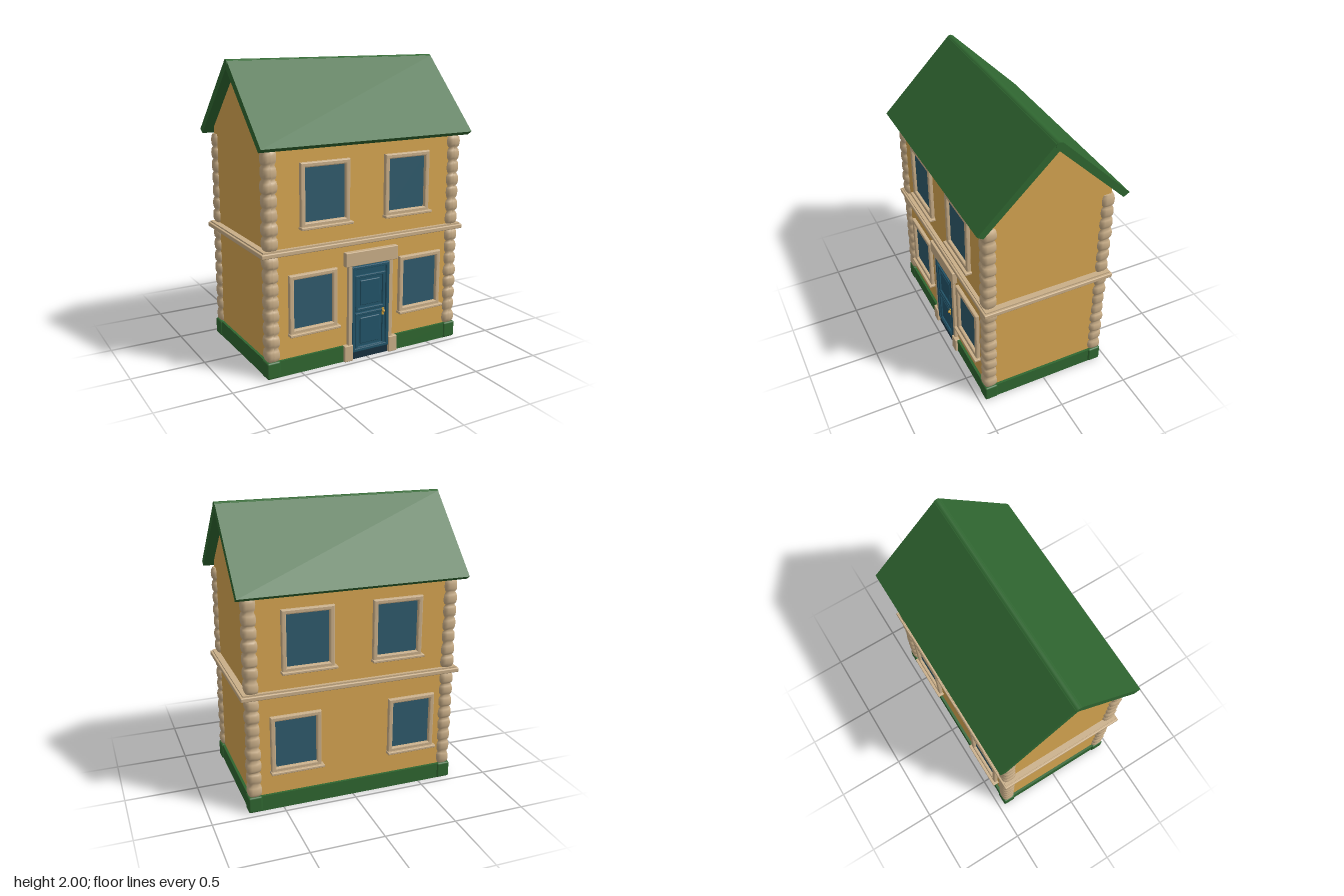
import * as THREE from 'three';
import { RoundedBoxGeometry } from 'three/addons/geometries/RoundedBoxGeometry.js';

const material = (name, color) => {
  const m = new THREE.MeshStandardMaterial({ color });
  m.name = name;
  return m;
};

export function createModel() {
  const plaster = material('ochre plaster', 0xd6a551);
  const green = material('green paint', 0x2f6630);
  const stone = material('pale stone', 0xc9ae88);
  const glass = material('blue glass', 0x2f5a6c);
  const doorBlue = material('door blue', 0x225469);
  const stepBlue = material('dark step blue', 0x16303f);
  const brass = material('brass', 0xc79a3a);

  const house = new THREE.Group();
  house.name = 'house';

  const add = (parent, name, geometry, mat) => {
    const mesh = new THREE.Mesh(geometry, mat);
    mesh.name = name;
    parent.add(mesh);
    return mesh;
  };
  // Box given by its limits on each axis
  const box = (parent, name, mat, x0, x1, y0, y1, z0, z1, r = 0) => {
    const size = [x1 - x0, y1 - y0, z1 - z0];
    const g = r ? new RoundedBoxGeometry(...size, 2, r) : new THREE.BoxGeometry(...size);
    g.translate((x0 + x1) / 2, (y0 + y1) / 2, (z0 + z1) / 2);
    return add(parent, name, g, mat);
  };
  // Profile in (z, y) extruded along x, centred
  const alongX = (points, length) => {
    const shape = new THREE.Shape(points.map(p => new THREE.Vector2(...p)));
    const g = new THREE.ExtrudeGeometry(shape, { depth: length, bevelEnabled: false });
    return g.translate(0, 0, -length / 2).rotateY(Math.PI / 2);
  };
  const rectPath = (path, x0, x1, y0, y1) =>
    path.moveTo(x0, y0).lineTo(x1, y0).lineTo(x1, y1).lineTo(x0, y1).closePath();
  // Rectangular moulding with a bevelled edge, standing on plane z
  const moulding = (parent, name, mat, x0, x1, y0, y1, width, z, depth, bevel) => {
    const shape = new THREE.Shape();
    rectPath(shape, x0 + bevel, x1 - bevel, y0 + bevel, y1 - bevel);
    const hole = new THREE.Path();
    const w = width - bevel;
    rectPath(hole, x0 + w, x1 - w, y0 + w, y1 - w);
    shape.holes.push(hole);
    const g = new THREE.ExtrudeGeometry(shape, {
      depth: depth - bevel * 2, bevelEnabled: true, bevelSize: bevel,
      bevelThickness: bevel, bevelSegments: 2,
    });
    return add(parent, name, g.translate(0, 0, z + bevel), mat);
  };

  // Walls with gables
  add(house, 'walls', alongX([
    [-0.43, 0.02], [0.43, 0.02], [0.43, 1.52], [0, 1.95], [-0.43, 1.52],
  ], 1.43), plaster);

  // Roof
  const roof = new THREE.Group();
  roof.name = 'roof';
  house.add(roof);
  add(roof, 'roofSlopes', alongX([
    [0.475, 1.475], [0.515, 1.5], [0.022, 1.99], [0, 2], [-0.022, 1.99],
    [-0.515, 1.5], [-0.475, 1.475], [0, 1.94],
  ], 1.565), green);
  const ridge = new THREE.CylinderGeometry(0.026, 0.026, 1.57, 12).rotateZ(Math.PI / 2);
  add(roof, 'ridgeCap', ridge, green).position.y = 1.974;

  // Plinth, open in front of the door
  const plinth = new THREE.Group();
  plinth.name = 'plinth';
  house.add(plinth);
  box(plinth, 'plinthCore', green, -0.732, 0.732, 0, 0.11, -0.448, 0.425);
  box(plinth, 'plinthFrontRight', green, -0.732, -0.15, 0, 0.11, 0.42, 0.448);
  box(plinth, 'plinthFrontLeft', green, 0.2, 0.732, 0, 0.11, 0.42, 0.448);
  for (const sx of [-1, 1]) for (const sz of [-1, 1]) {
    const x = sx * 0.695, z = sz * 0.41;
    box(plinth, 'plinthCorner', green, x - 0.047, x + 0.047, 0, 0.113, z - 0.046, z + 0.046, 0.012);
  }

  // String course between the floors
  box(house, 'stringCourse', stone, -0.77, 0.77, 0.81, 0.84, -0.468, 0.468, 0.006);
  box(house, 'stringCourseTop', stone, -0.755, 0.755, 0.835, 0.85, -0.455, 0.455);

  // Rough corner stones: a squared column swelling at every stone
  let seed = 7;
  const random = () => {
    seed = (seed * 16807) % 2147483647;
    return seed / 2147483647;
  };
  const quoinColumn = (y0, y1, count) => {
    const rows = count * 6, sides = 16;
    const g = new THREE.CylinderGeometry(1, 1, y1 - y0, sides, rows);
    const stones = Array.from({ length: count }, () => ({
      size: 0.046 + random() * 0.005, tilt: (random() - 0.5) * 0.024, turn: random() * 6.28,
    }));
    const p = g.attributes.position;
    for (let i = 0; i < p.count; i++) {
      const x = p.getX(i), z = p.getZ(i);
      const t = (p.getY(i) / (y1 - y0) + 0.5) * count;
      const s = stones[Math.min(count - 1, Math.max(0, Math.floor(t)))];
      const f = t - Math.floor(t);
      const bulge = Math.sqrt(Math.max(0, Math.sin(Math.PI * f)));
      const length = Math.hypot(x, z);
      if (length < 1e-6) continue;
      const square = Math.pow(x ** 4 + z ** 4, -0.25);
      const r = square * (0.036 + (s.size - 0.036) * bulge);
      const a = Math.atan2(z, x);
      p.setXYZ(i, x * r, p.getY(i) + bulge * s.tilt * Math.sin(a + s.turn), z * r);
    }
    g.computeVertexNormals();
    return g.translate(0, (y0 + y1) / 2, 0);
  };
  for (const sx of [-1, 1]) for (const sz of [-1, 1]) {
    for (const [y0, y1, count] of [[0.112, 0.812, 8], [0.848, 1.475, 7]]) {
      add(house, 'cornerStones', quoinColumn(y0, y1, count), stone)
        .position.set(sx * 0.692, 0, sz * 0.409);
    }
  }

  // Windows, the same on both long walls
  const addWindow = (parent, x0, x1, y0, y1) => {
    const win = new THREE.Group();
    win.name = 'window';
    parent.add(win);
    box(win, 'windowPane', glass, x0 + 0.02, x1 - 0.02, y0 + 0.02, y1 - 0.02, 0.428, 0.434);
    moulding(win, 'windowFrame', stone, x0, x1, y0 + 0.01, y1, 0.033, 0.425, 0.032, 0.008);
    box(win, 'windowSill', stone, x0 - 0.005, x1 + 0.015, y0, y0 + 0.018, 0.425, 0.477, 0.004);
  };
  for (const [side, sign] of [['frontWindows', 1], ['backWindows', -1]]) {
    const group = new THREE.Group();
    group.name = side;
    if (sign < 0) group.rotation.y = Math.PI;
    house.add(group);
    addWindow(group, -0.493, -0.137, 0.96, 1.387);
    addWindow(group, 0.13, 0.482, 0.96, 1.387);
    addWindow(group, -0.58, -0.23, 0.262, 0.672);
    addWindow(group, 0.255, 0.597, 0.262, 0.672);
  }

  // Door with panels, jambs, lintel and step
  const door = new THREE.Group();
  door.name = 'door';
  house.add(door);
  box(door, 'doorLeaf', doorBlue, -0.12, 0.178, 0.04, 0.66, 0.42, 0.438);
  box(door, 'doorStep', stepBlue, -0.115, 0.17, 0, 0.055, 0.42, 0.446);
  moulding(door, 'doorCasing', doorBlue, -0.118, 0.173, 0.05, 0.655, 0.024, 0.43, 0.025, 0.005);
  for (const [y0, y1] of [[0.335, 0.59], [0.06, 0.325]]) {
    moulding(door, 'panelMoulding', doorBlue, -0.09, 0.145, y0, y1, 0.022, 0.432, 0.018, 0.005);
    box(door, 'doorPanel', doorBlue, -0.05, 0.105, y0 + 0.04, y1 - 0.04, 0.43, 0.446, 0.006);
  }
  box(door, 'handlePlate', brass, 0.118, 0.134, 0.28, 0.33, 0.446, 0.453);
  add(door, 'doorKnob', new THREE.SphereGeometry(0.011, 12, 8), brass).position.set(0.126, 0.31, 0.46);
  for (const [x0, x1, b0, b1] of [[-0.147, -0.116, -0.18, -0.115], [0.171, 0.202, 0.17, 0.235]]) {
    box(door, 'doorJamb', stone, x0, x1, 0.1, 0.68, 0.42, 0.454, 0.005);
    box(door, 'jambBlock', stone, b0, b1, 0, 0.112, 0.42, 0.466, 0.004);
  }
  box(door, 'lintel', stone, -0.172, 0.233, 0.665, 0.762, 0.42, 0.466, 0.005);

  return house;
}
